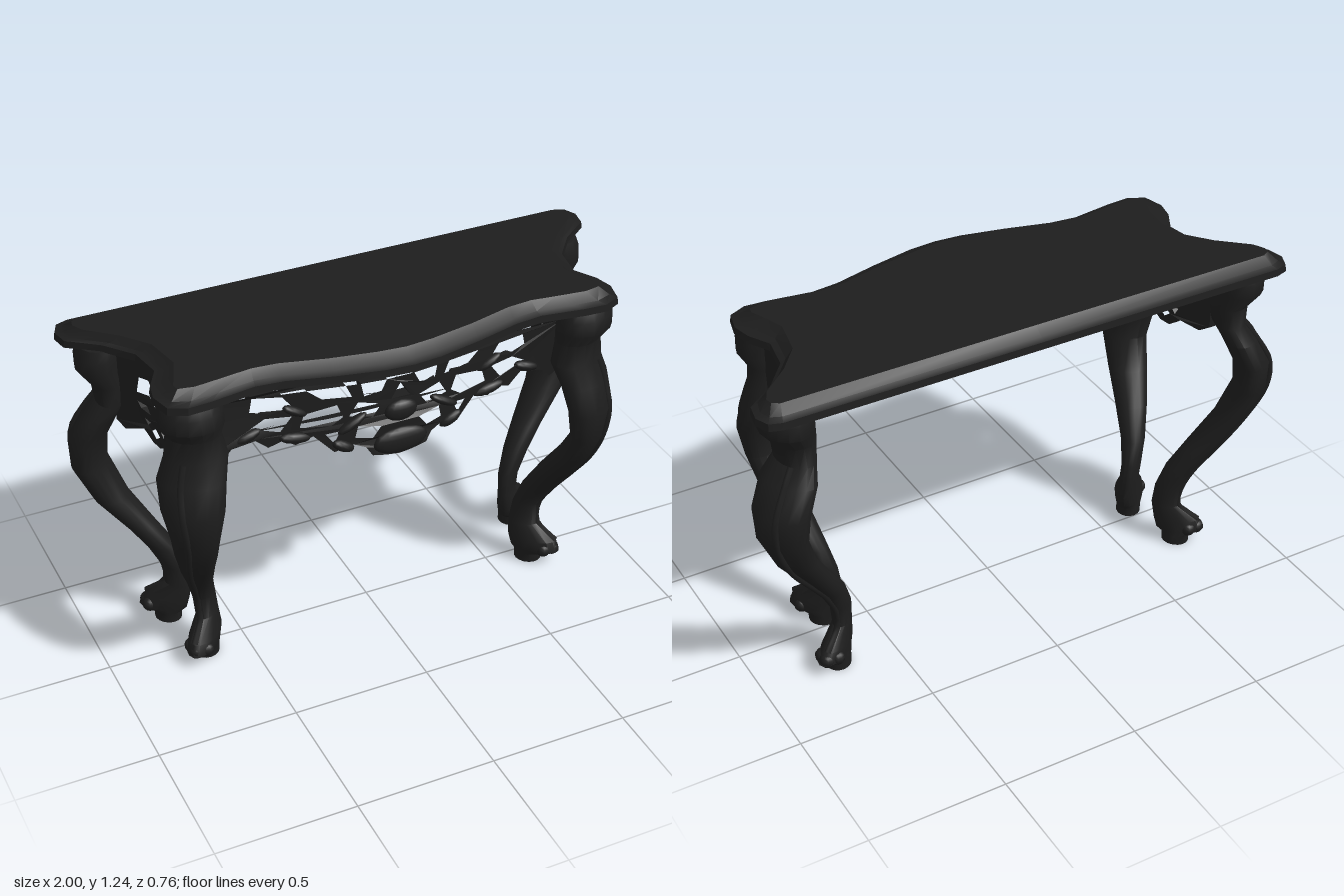
import * as THREE from 'three';
import { toCreasedNormals } from 'three/addons/utils/BufferGeometryUtils.js';

const ebony = new THREE.MeshStandardMaterial({ color: 0x1d1d1d });
ebony.name = 'ebony';

function add(parent, name, geometry) {
  const mesh = new THREE.Mesh(geometry, ebony);
  mesh.name = name;
  parent.add(mesh);
  return mesh;
}

// Skin a stack of horizontal rings (bottom to top) and cap both ends
function loft(rings, crease = 0.7) {
  const n = rings[0].length, index = [];
  for (let k = 0; k < rings.length - 1; k++) {
    for (let i = 0; i < n; i++) {
      const a = k * n + i, b = k * n + (i + 1) % n;
      index.push(a, a + n, b, b, a + n, b + n);
    }
  }
  const flat = (r) => r.map((p) => new THREE.Vector2(p.x, p.z));
  const last = (rings.length - 1) * n;
  for (const [a, b, c] of THREE.ShapeUtils.triangulateShape(flat(rings[0]), [])) index.push(a, b, c);
  for (const [a, b, c] of THREE.ShapeUtils.triangulateShape(flat(rings.at(-1)), [])) index.push(last + a, last + c, last + b);
  const g = new THREE.BufferGeometry().setFromPoints(rings.flat());
  g.setIndex(index);
  return toCreasedNormals(g, crease);
}

// Half outline of the top, back centre to front centre: outer x, z, inner x, z
const EDGE = [
  [0, -0.38, 0, -0.32], [0.93, -0.38, 0.91, -0.32], [0.975, -0.365, 0.935, -0.305],
  [0.997, -0.315, 0.94, -0.28], [0.985, -0.25, 0.92, -0.24], [0.88, -0.17, 0.82, -0.15],
  [0.8, -0.07, 0.745, -0.055], [0.78, 0.05, 0.72, 0.08], [0.825, 0.13, 0.745, 0.15],
  [0.84, 0.2, 0.77, 0.21], [0.82, 0.28, 0.765, 0.235], [0.76, 0.31, 0.71, 0.245],
  [0.68, 0.305, 0.6, 0.232], [0.52, 0.281, 0.51, 0.22], [0.42, 0.292, 0.42, 0.228],
  [0.26, 0.335, 0.26, 0.27], [0.1, 0.37, 0.1, 0.3], [0, 0.378, 0, 0.31],
];

function topRing(y, t) {
  const half = EDGE.map(([x, z, u, v]) => new THREE.Vector3(x + (u - x) * t, y, z + (v - z) * t));
  const other = half.slice(1, -1).reverse().map((p) => new THREE.Vector3(-p.x, y, p.z));
  return [...half, ...other];
}

// Leg sections: y, x min, x max, z min, z max
const FRONT_LEG = [
  [0, 0.605, 0.7, 0, 0.1], [0.035, 0.605, 0.7, 0, 0.1], [0.055, 0.595, 0.745, -0.005, 0.15],
  [0.1, 0.585, 0.735, -0.01, 0.14], [0.16, 0.59, 0.685, -0.015, 0.08], [0.24, 0.6, 0.69, -0.01, 0.07],
  [0.33, 0.62, 0.717, 0.01, 0.12], [0.44, 0.64, 0.76, 0.07, 0.2], [0.55, 0.66, 0.795, 0.14, 0.28],
  [0.66, 0.67, 0.82, 0.197, 0.33], [0.78, 0.65, 0.845, 0.18, 0.347], [0.88, 0.63, 0.84, 0.14, 0.32],
  [0.96, 0.605, 0.81, 0.13, 0.29], [1.04, 0.62, 0.8, 0.13, 0.28], [1.09, 0.615, 0.83, 0.135, 0.31],
  [1.14, 0.615, 0.83, 0.135, 0.305], [1.18, 0.62, 0.82, 0.13, 0.285],
];
const BACK_LEG = [
  [0, 0.66, 0.755, -0.24, -0.14], [0.035, 0.66, 0.755, -0.24, -0.14], [0.055, 0.645, 0.8, -0.26, -0.13],
  [0.1, 0.635, 0.78, -0.25, -0.125], [0.16, 0.63, 0.715, -0.205, -0.12], [0.24, 0.635, 0.722, -0.21, -0.125],
  [0.33, 0.665, 0.767, -0.235, -0.135], [0.42, 0.722, 0.83, -0.275, -0.155], [0.55, 0.8, 0.93, -0.32, -0.185],
  [0.69, 0.85, 0.995, -0.37, -0.2], [0.8, 0.84, 1, -0.38, -0.19], [0.9, 0.8, 0.95, -0.357, -0.16],
  [0.96, 0.78, 0.9, -0.32, -0.155], [1.03, 0.77, 0.91, -0.31, -0.155], [1.09, 0.78, 0.955, -0.345, -0.15],
  [1.14, 0.78, 0.955, -0.345, -0.15], [1.18, 0.78, 0.94, -0.33, -0.16],
];
// How far each section leans: slim and pointing outward at the foot, broad across at the knee
const LEAN = [[0.035, 0.1], [0.055, 0.55], [0.1, 0.55], [0.24, 0.3], [0.44, 0], [0.55, -0.2], [0.66, -0.38],
  [0.9, -0.42], [0.98, -0.15], [1.18, -0.08]];

function along(table, v) {
  if (v <= table[0][0]) return table[0][1];
  for (let i = 1; i < table.length; i++) {
    const [a, fa] = table[i - 1], [b, fb] = table[i];
    if (v <= b || i === table.length - 1) return fa + (fb - fa) * (v - a) / (b - a);
  }
}

function buildLeg(name, rows, side, front) {
  const leg = new THREE.Group();
  leg.name = name;
  // Point on a slanted ellipse filling the section's bounds; t = 0 faces the outer corner
  const at = ([y, x0, x1, z0, z1], t, r = 1) => {
    const lean = Math.acos(along(LEAN, y));
    const phi = front > 0 ? lean : Math.PI - lean;
    const a = t + front * lean / 2;
    return new THREE.Vector3(
      side * ((x0 + x1) / 2 + r * (x1 - x0) / 2 * Math.cos(a)), y,
      (z0 + z1) / 2 + r * (z1 - z0) / 2 * Math.cos(a - phi));
  };
  const rings = rows.map((row) => {
    const ring = Array.from({ length: 16 }, (_, i) => at(row, i / 16 * Math.PI * 2));
    return side < 0 ? ring.reverse() : ring;
  });
  add(leg, 'cabrioleLeg', loft(rings));
  // Carved rib down the outer face
  const path = new THREE.CatmullRomCurve3(rows.slice(3, 13).map((row) => at(row, 0, 0.96)));
  add(leg, 'carvedRib', new THREE.TubeGeometry(path, 30, 0.012, 6));
  // Toes
  for (const spread of [-0.9, 0, 0.9]) {
    const toe = add(leg, 'toe', new THREE.SphereGeometry(0.028, 10, 8));
    toe.position.copy(at(rows[2], spread, 0.68)).setY(0.064);
  }
  return leg;
}

// Move a flat board's vertices onto a surface
function bend(g, place) {
  const p = g.attributes.position;
  for (let i = 0; i < p.count; i++) p.setXYZ(i, ...place(p.getX(i), p.getY(i), p.getZ(i)));
  return toCreasedNormals(g, 0.6);
}

// Pierced board with its face on the surface
function panel(outline, holes, depth, place) {
  const points = (list) => list.map(([x, y]) => new THREE.Vector2(x, y));
  const shape = new THREE.Shape(points(outline));
  shape.holes = holes.map((h) => new THREE.Path(points(h)));
  const g = new THREE.ExtrudeGeometry(shape, { depth, bevelEnabled: false });
  return bend(g.translate(0, 0, -depth), place);
}
const mirror = (list) => list.map(([x, y]) => [-x, y]).reverse();

const frontCurve = (x) => along([[0, 0.272], [0.1, 0.267], [0.26, 0.235], [0.5, 0.19], [0.68, 0.21]], Math.abs(x));
const sideCurve = (z) => along([[-0.17, 0.845], [-0.07, 0.77], [0.05, 0.75], [0.15, 0.765]], z);

function buildFrontApron() {
  const apron = new THREE.Group();
  apron.name = 'frontApron';
  const place = (u, v, w) => [u, v, frontCurve(u) + w];
  const rail = new THREE.BoxGeometry(1.3, 0.06, 0.045, 26, 1, 1).translate(0, 1.15, -0.0225);
  add(apron, 'apronRail', bend(rail, place));
  const half = [
    [0.1, 1.12], [0.18, 1.12], [0.26, 1.12], [0.34, 1.12], [0.42, 1.12], [0.5, 1.12], [0.58, 1.12], [0.65, 1.12],
    [0.65, 0.93], [0.61, 0.9], [0.58, 0.93], [0.5, 0.94], [0.45, 0.9], [0.4, 0.92], [0.36, 0.895], [0.3, 0.92],
    [0.23, 0.845], [0.19, 0.855], [0.165, 0.865], [0.12, 0.845], [0.1, 0.81], [0.05, 0.8],
  ];
  const holes = [
    [[0.4, 1.09], [0.5, 1.1], [0.51, 1.05], [0.44, 1.03], [0.37, 1.05]],
    [[0.19, 1.1], [0.32, 1.1], [0.27, 1.06], [0.17, 1.055]],
    [[0.05, 1.1], [0.14, 1.1], [0.13, 1.05], [0.07, 1.06]],
    [[0.37, 1.01], [0.46, 1.015], [0.51, 0.985], [0.41, 0.955]],
    [[0.22, 1.03], [0.33, 1.01], [0.345, 0.96], [0.24, 0.95], [0.2, 0.98]],
    [[0.07, 1.01], [0.15, 1.03], [0.18, 0.98], [0.1, 0.965]],
    [[0.07, 0.92], [0.15, 0.935], [0.16, 0.89], [0.1, 0.88]],
    [[0.21, 0.925], [0.26, 0.92], [0.23, 0.88]],
  ];
  const all = [...holes, ...holes.map(mirror), [[-0.035, 1.02], [0.035, 1.02], [0, 1.08]]];
  const outline = [[0, 1.12], ...half, [0, 0.795], ...mirror(half)];
  add(apron, 'piercedBoard', panel(outline, all, 0.045, place));
  // Raised leaves and the central shell: x, y, half length, half height, tilt
  const leaves = [[0.2, 0.865, 0.045, 0.02, 0.5], [0.17, 0.95, 0.06, 0.016, -0.5], [0.36, 1.03, 0.05, 0.016, 0.5],
    [0.36, 0.925, 0.06, 0.02, 0.2], [0.52, 0.96, 0.05, 0.018, -0.3]];
  for (const side of [1, -1]) {
    for (const [x, y, rx, ry, tilt] of leaves) {
      const leaf = add(apron, 'leaf', new THREE.SphereGeometry(1, 10, 8));
      leaf.scale.set(rx, ry, 0.02);
      leaf.position.set(side * x, y, frontCurve(x));
      leaf.rotation.z = side * tilt;
    }
  }
  for (const [x, y, rx, ry] of [[0, 0.85, 0.1, 0.05], [0, 0.97, 0.06, 0.04]]) {
    const shell = add(apron, 'shell', new THREE.SphereGeometry(1, 14, 10));
    shell.scale.set(rx, ry, 0.025);
    shell.position.set(x, y, frontCurve(0));
  }
  return apron;
}

function buildSideApron(side) {
  const outline = [
    [-0.15, 1.18], [-0.05, 1.18], [0.07, 1.18], [0.18, 1.18], [0.18, 0.9], [0.145, 0.875], [0.085, 0.9],
    [0.045, 0.865], [0, 0.865], [-0.06, 0.9], [-0.11, 0.87], [-0.15, 0.89],
  ];
  const holes = [
    [[-0.055, 1.1], [-0.01, 1.11], [0.02, 1.07], [0.05, 1.105], [0.09, 1.1], [0.1, 1.04], [0.05, 1.045], [0.02, 1.015], [-0.055, 1.04]],
    [[-0.06, 1.005], [-0.03, 0.995], [-0.01, 0.97], [-0.05, 0.98]],
    [[0.1, 1.005], [0.07, 0.995], [0.05, 0.97], [0.09, 0.98]],
    [[-0.04, 0.945], [-0.01, 0.94], [-0.03, 0.92]],
    [[0.08, 0.945], [0.05, 0.94], [0.07, 0.92]],
    [[-0.005, 0.91], [0.02, 0.93], [0.045, 0.91], [0.02, 0.89]],
  ];
  const flip = side < 0;
  return panel(flip ? mirror(outline) : outline, flip ? holes.map(mirror) : holes, 0.04, (u, v, w) => {
    const z = -side * u;
    return [side * (sideCurve(z) + w), v, z];
  });
}

export function createModel() {
  const table = new THREE.Group();
  table.name = 'consoleTable';
  // Top with a stepped moulded edge
  add(table, 'tableTop', loft([topRing(1.178, 0), topRing(1.203, 0.06),
    topRing(1.21, 0.45), topRing(1.236, 1)], 0.4));
  table.add(buildFrontApron());
  add(table, 'backRail', new THREE.BoxGeometry(1.6, 0.05, 0.04)).position.set(0, 1.155, -0.26);
  for (const side of [1, -1]) {
    const label = side > 0 ? 'left' : 'right';
    add(table, label + 'SideApron', buildSideApron(side));
    table.add(buildLeg(label + 'FrontLeg', FRONT_LEG, side, 1));
    table.add(buildLeg(label + 'BackLeg', BACK_LEG, side, -1));
  }
  return table;
}
